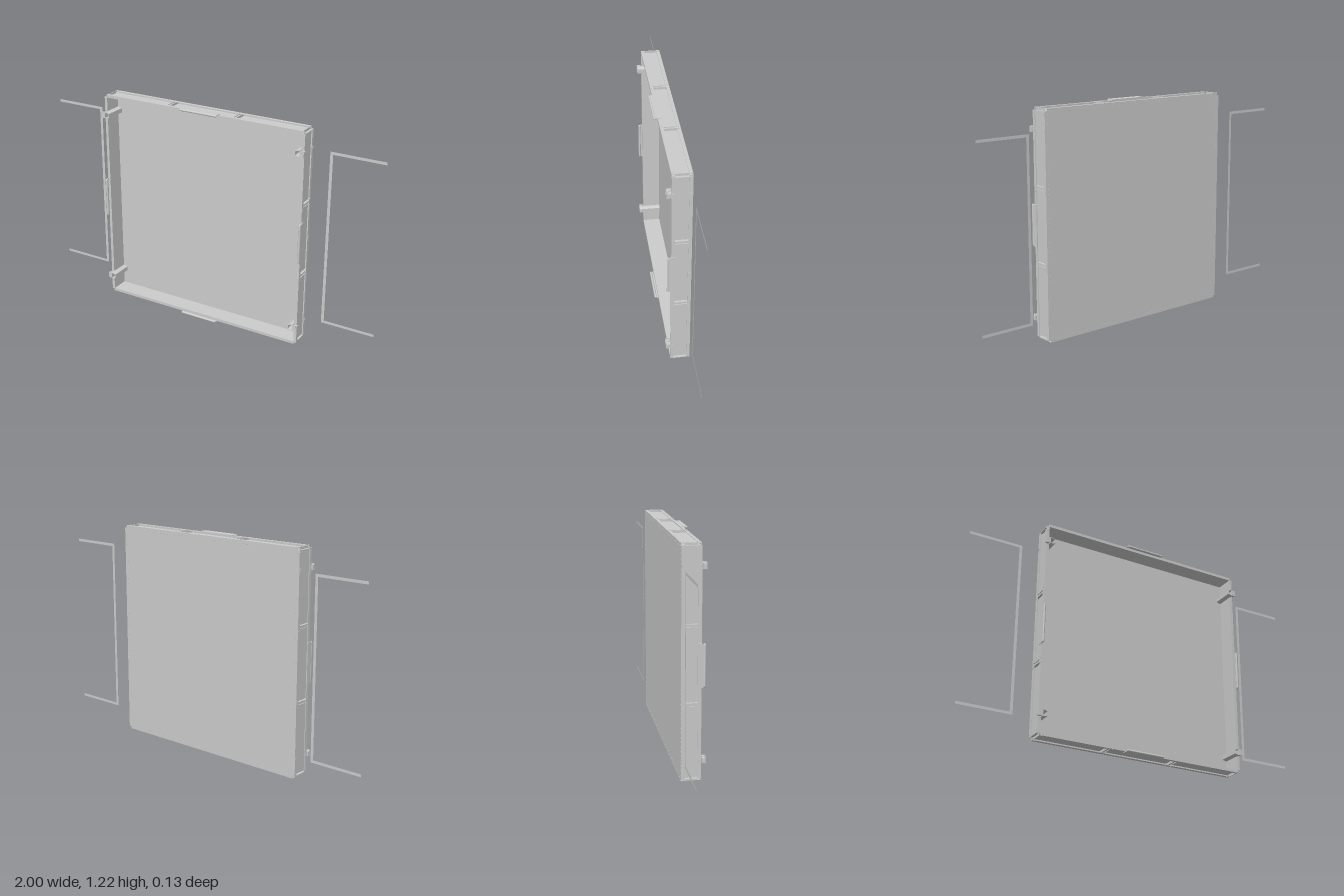
import * as THREE from 'three';

const mat = new THREE.MeshStandardMaterial({ color: 0xcccccc, side: THREE.DoubleSide });
const HALF = 0.605, WEB = 0.592, CY = 0.61;   // outer half size, inner half size, centre height
const FRONT = 0.04, BACK = -0.062, T = 0.003; // frame depth and sheet thickness

function add(parent, name, geo, x = 0, y = 0, z = 0) {
  const m = new THREE.Mesh(geo, mat);
  m.name = name;
  m.position.set(x, y, z);
  parent.add(m);
  return m;
}

// Box given by its limits on each axis
function slab(parent, name, x0, x1, y0, y1, z0, z1) {
  return add(parent, name, new THREE.BoxGeometry(x1 - x0, y1 - y0, z1 - z0),
    (x0 + x1) / 2, (y0 + y1) / 2, (z0 + z1) / 2);
}

const polygon = pts => new THREE.Shape(pts.map(p => new THREE.Vector2(...p)));

// Folded C channel opening outwards (local x runs along it, local y points out)
function channel(side) {
  slab(side, 'channelWeb', -WEB, WEB, WEB - T, WEB, BACK, FRONT);
  slab(side, 'frontFlange', -WEB, WEB, WEB, HALF, FRONT - T, FRONT);
  slab(side, 'backFlange', -WEB, WEB, WEB, HALF, BACK, BACK + T);
  slab(side, 'frontReturnLip', -WEB, WEB, HALF - T, HALF, 0.023, FRONT);
  slab(side, 'backReturnLip', -WEB, WEB, HALF - T, HALF, BACK, -0.044);
  // End plates close the channel between the lips
  for (const s of [-1, 1]) {
    add(side, 'endPlate', new THREE.BoxGeometry(T, HALF - WEB, 0.067), s * (WEB - T / 2), (HALF + WEB) / 2, -0.0105);
  }
  // Two stiffening ribs, each a small U
  for (const c of [-0.2, 0.2]) {
    for (const s of [-1, 1]) {
      add(side, 'ribWall', new THREE.BoxGeometry(T, HALF - WEB, 0.095), c + s * 0.008, (HALF + WEB) / 2, -0.011);
    }
    add(side, 'ribFloor', new THREE.BoxGeometry(0.018, T, 0.067), c, HALF - 0.006, -0.0105);
  }
  // Screws on the lips beside ribs and ends
  const screw = new THREE.CylinderGeometry(0.004, 0.004, 0.003, 10);
  for (const x of [-0.58, -0.217, -0.183, 0.183, 0.217, 0.58]) {
    for (const z of [0.033, -0.052]) add(side, 'screw', screw, x, HALF, z);
  }
}

// Grip: a thin plate with chamfered ends and a rolled front edge
function handle(side) {
  const plate = polygon([[-0.112, 0.02], [0.112, 0.02], [0.112, 0.045], [0.1, 0.058], [-0.1, 0.058], [-0.112, 0.045]]);
  const geo = new THREE.ExtrudeGeometry(plate, { depth: 0.005, bevelEnabled: false });
  geo.rotateX(Math.PI / 2);
  add(side, 'handlePlate', geo, 0, HALF + 0.004, 0);
  const bar = new THREE.CapsuleGeometry(0.0065, 0.21, 4, 12);
  bar.rotateZ(Math.PI / 2);
  add(side, 'handleBar', bar, 0, HALF - 0.001, 0.055);
}

// Hollow tapered bracket running through the depth, with a head in front
function clip(side, x) {
  const g = new THREE.Group();
  g.name = 'clip';
  g.position.x = x;
  const outline = polygon([[-0.018, WEB], [-0.018, 0.58], [-0.012, 0.563], [0.012, 0.563], [0.018, 0.58], [0.018, WEB]]);
  outline.holes.push(polygon([[-0.015, WEB - T], [0.015, WEB - T], [0.015, 0.581], [0.01, 0.566], [-0.01, 0.566], [-0.015, 0.581]]));
  const body = new THREE.ExtrudeGeometry(outline, { depth: 0.123, bevelEnabled: false });
  add(g, 'clipBody', body, 0, 0, -0.059);
  slab(g, 'clipHead', -0.013, 0.013, WEB, 0.613, 0.043, 0.06);
  slab(g, 'clipHeadPlate', -0.017, 0.017, WEB, 0.61, 0.061, 0.064);
  for (const z of [0.033, -0.053]) {
    slab(g, 'clipTab', -0.006, 0.006, HALF - T, HALF + 0.003, z - 0.005, z + 0.005);
  }
  side.add(g);
}

// Flat open U outline set beside the tray, s picks the side
function sideRail(parent, s) {
  const rail = polygon([[1, 0.123], [0.7, 0.123], [0.7, 1.099], [1, 1.099], [1, 1.084],
    [0.716, 1.084], [0.716, 0.138], [1, 0.138]].map(([x, y]) => [s * x, y]));
  add(parent, s > 0 ? 'leftRail' : 'rightRail', new THREE.ShapeGeometry(rail), 0, 0, -0.06);
}

export function createModel() {
  const model = new THREE.Group();
  model.name = 'panelTray';

  slab(model, 'backPanel', -WEB, WEB, CY - WEB, CY + WEB, BACK, BACK + T);

  const names = ['topSide', 'rightSide', 'bottomSide', 'leftSide'];
  const rivet = new THREE.CylinderGeometry(0.003, 0.003, 0.002, 6).rotateX(Math.PI / 2);
  names.forEach((name, k) => {
    const side = new THREE.Group();
    side.name = name;
    side.position.y = CY;
    side.rotation.z = k * Math.PI / 2;
    channel(side);
    handle(side);
    if (k % 2) {
      clip(side, -0.494);
      clip(side, 0.494);
      slab(side, 'middleTab', -0.004, 0.004, HALF - T, HALF + 0.002, -0.06, -0.048);
    }
    // Rivet row along the back edge
    for (let i = -23; i <= 23; i++) add(side, 'rivet', rivet, i * 0.025, WEB - 0.004, BACK - 0.0005);
    model.add(side);
  });

  sideRail(model, 1);
  sideRail(model, -1);
  return model;
}
